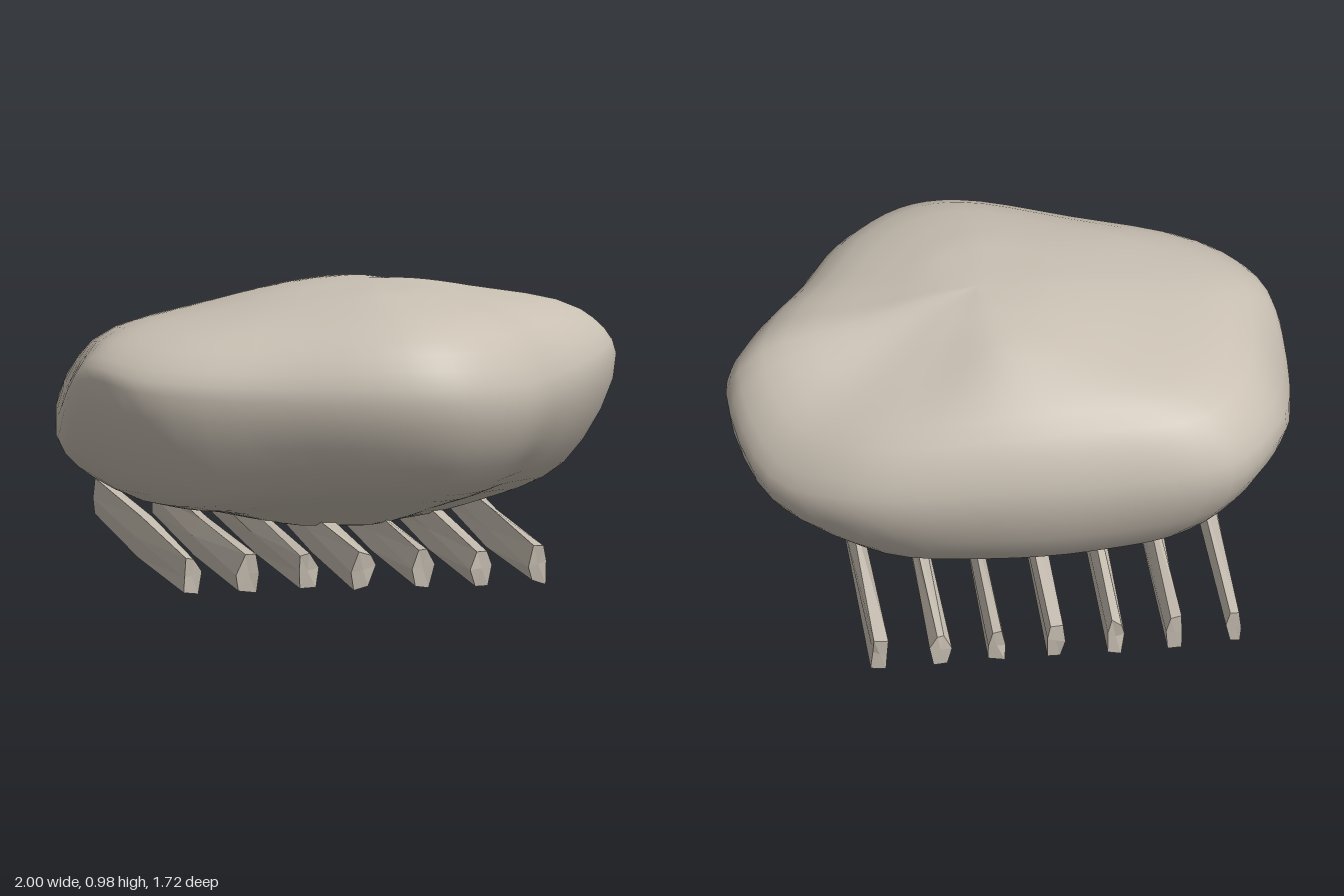
import * as THREE from 'three';
import { mergeVertices } from 'three/addons/utils/BufferGeometryUtils.js';

const V = (x, y, z) => new THREE.Vector3(x, y, z);

// Joins equal-sized loops of points; caps the ends when asked.
function loft(rings, capped) {
  const n = rings[0].length, idx = [];
  const pos = rings.flat().flatMap((p) => [p.x, p.y, p.z]);
  for (let j = 0; j < rings.length - 1; j++) {
    for (let i = 0; i < n; i++) {
      const a = j * n + i, b = j * n + (i + 1) % n;
      idx.push(a, b, a + n, b, b + n, a + n);
    }
  }
  if (capped) {
    [0, rings.length - 1].forEach((j) => {
      const c = rings[j].reduce((s, p) => s.add(p), V(0, 0, 0)).divideScalar(n);
      const k = pos.length / 3;
      pos.push(c.x, c.y, c.z);
      for (let i = 0; i < n; i++) {
        const a = j * n + i, b = j * n + (i + 1) % n;
        j === 0 ? idx.push(k, b, a) : idx.push(k, a, b);
      }
    });
  }
  const g = new THREE.BufferGeometry();
  g.setAttribute('position', new THREE.Float32BufferAttribute(pos, 3));
  g.setIndex(idx);
  return g;
}

// Boulder ribs: widest point x, z, y, then heights of outer top, inner top, outer bottom, inner bottom
const RIBS = [
  [1.0, -0.05, 0.67, 0.83, 0.93, 0.29, 0.15],
  [0.9, 0.18, 0.65, 0.84, 0.94, 0.31, 0.17],
  [0.73, 0.4, 0.62, 0.84, 0.95, 0.32, 0.18],
  [0.57, 0.63, 0.62, 0.85, 0.96, 0.32, 0.19],
  [0.33, 0.8, 0.64, 0.86, 0.96, 0.33, 0.2],
  [0.1, 0.825, 0.65, 0.86, 0.96, 0.34, 0.21],
  [-0.35, 0.7, 0.65, 0.83, 0.94, 0.32, 0.2],
  [-0.8, 0.52, 0.67, 0.81, 0.91, 0.28, 0.18],
  [-0.97, 0.24, 0.68, 0.81, 0.9, 0.27, 0.17],
  [-1.0, -0.02, 0.43, 0.77, 0.89, 0.25, 0.16],
  [-0.93, -0.33, 0.5, 0.74, 0.88, 0.25, 0.17],
  [-0.73, -0.56, 0.5, 0.73, 0.88, 0.22, 0.14],
  [-0.3, -0.63, 0.5, 0.75, 0.91, 0.2, 0.13],
  [0.15, -0.63, 0.5, 0.74, 0.92, 0.2, 0.12],
  [0.6, -0.55, 0.47, 0.69, 0.87, 0.21, 0.13],
  [0.89, -0.35, 0.46, 0.68, 0.87, 0.26, 0.15],
];

// Point beside a pole, kept nearly level so the pole is rounded
function nearPole(pole, next) {
  const p = pole.clone().lerp(next, 0.45);
  p.y = THREE.MathUtils.lerp(pole.y, next.y, 0.22);
  return p;
}

function boulderGeometry() {
  const top = V(0.1, 0.98, 0.05), bottom = V(0.02, 0.09, -0.05);
  const around = 64, down = 32;
  const ribs = RIBS.map(([x, z, y, t1, t2, b1, b2]) => {
    const innerTop = V(x * 0.47, t2, z * 0.47), innerBottom = V(x * 0.45, b2, z * 0.45);
    return [
      top, nearPole(top, innerTop), innerTop, V(x * 0.87, t1, z * 0.87), V(x, y, z),
      V(x * 0.81, b1, z * 0.81), innerBottom, nearPole(bottom, innerBottom), bottom,
    ];
  });
  // Smooth around each level, then smooth from top to bottom
  const levels = ribs[0].map((pole, j) => (j === 0 || j === 8)
    ? Array(around).fill(pole)
    : new THREE.CatmullRomCurve3(ribs.map((r) => r[j]), true).getPoints(around).slice(0, around));
  const columns = Array.from({ length: around }, (_, i) =>
    new THREE.CatmullRomCurve3(levels.map((l) => l[i])).getPoints(down));
  const rings = Array.from({ length: down + 1 }, (_, j) => columns.map((c) => c[j]));
  const g = mergeVertices(loft(rings, false), 1e-5);
  g.computeVertexNormals();
  return g;
}

// Roughly hewn rail: a hexagonal section that varies along its length
function railGeometry(back, front, rand) {
  const section = [[0.024, 0.014], [0.034, 0.085], [0.016, 0.138], [-0.02, 0.138], [-0.034, 0.075], [-0.026, 0.012]];
  const rings = [-0.855, 0, 0.855].map((z, k) => {
    const cx = back + (front - back) * k / 2;
    return section.map(([x, y]) => V(
      cx + x + (rand() - 0.5) * 0.022,
      THREE.MathUtils.clamp(y + (rand() - 0.5) * 0.02, 0, 0.147),
      z + (k - 1) * (rand() - 0.5) * 0.012));
  });
  rings[1][5].y = 0;
  const g = loft(rings, true).toNonIndexed();
  g.computeVertexNormals();
  return g;
}

export function createModel() {
  const group = new THREE.Group();
  group.name = 'boulderOnRails';
  const stone = new THREE.MeshStandardMaterial({ color: 0xc9c0b3 });
  stone.name = 'stone';

  const boulder = new THREE.Mesh(boulderGeometry(), stone);
  boulder.name = 'boulder';
  group.add(boulder);

  // Seven parallel rails under the boulder
  let seed = 7;
  const rand = () => (seed = (seed * 16807) % 2147483647) / 2147483647;
  const backs = [-0.695, -0.485, -0.278, -0.065, 0.148, 0.34, 0.556];
  const fronts = [-0.682, -0.478, -0.272, -0.068, 0.142, 0.348, 0.55];
  backs.forEach((b, i) => {
    const rail = new THREE.Mesh(railGeometry(b, fronts[i], rand), stone);
    rail.name = `rail${i + 1}`;
    group.add(rail);
  });
  return group;
}
